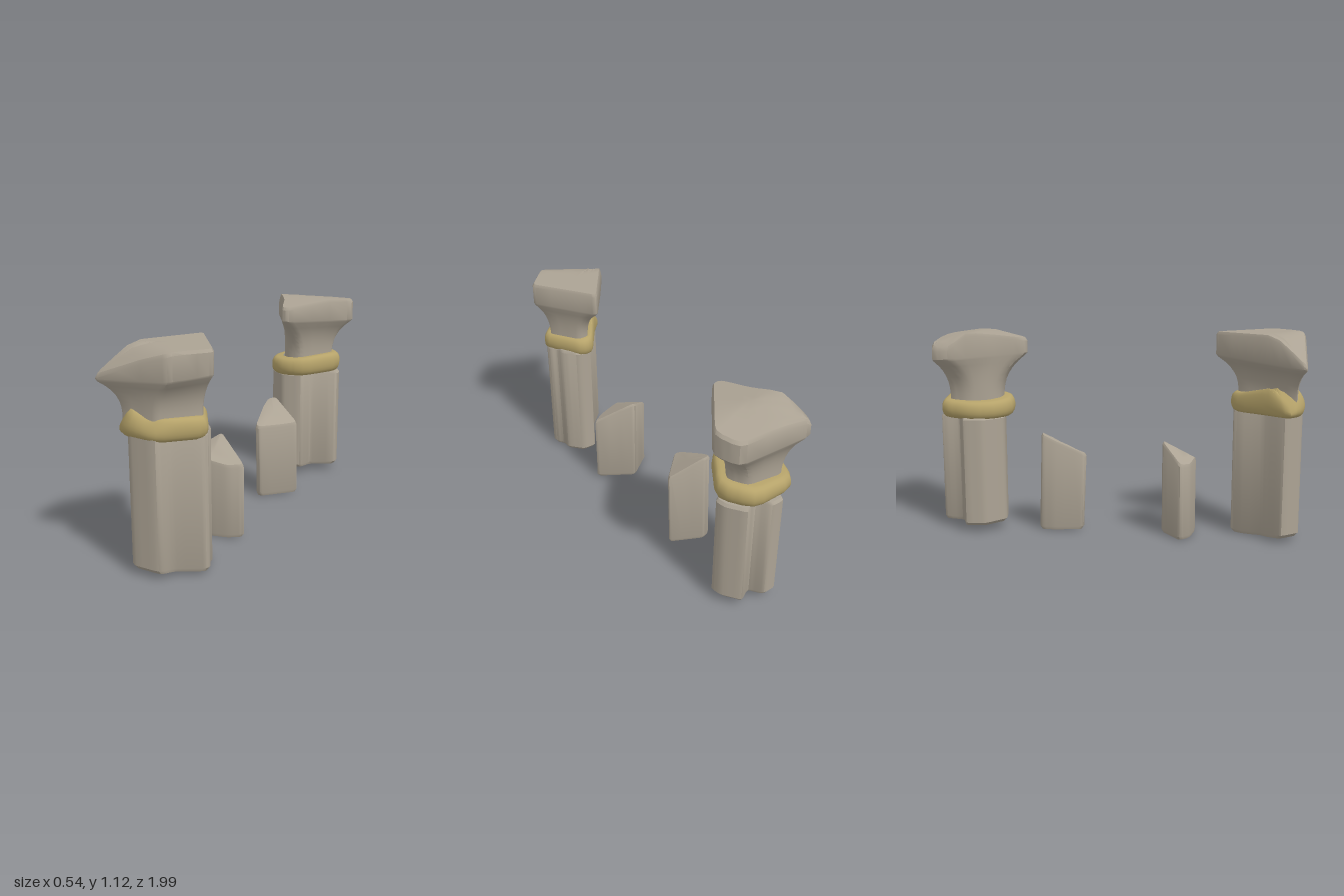
import * as THREE from 'three';
import { toCreasedNormals } from 'three/addons/utils/BufferGeometryUtils.js';

const stone = new THREE.MeshStandardMaterial({ color: 0xaca394 });
stone.name = 'stone';
const gold = new THREE.MeshStandardMaterial({ color: 0xb6a36a });
gold.name = 'dull gold';

// Outline in [x, z]: rounds each corner and subdivides each edge
function rounded(corners, r) {
  const pts = corners.map((p) => new THREE.Vector2(p[0], p[1]));
  if (THREE.ShapeUtils.area(pts) > 0) pts.reverse();
  const n = pts.length, out = [];
  for (let i = 0; i < n; i++) {
    const p = pts[i], prev = pts[(i + n - 1) % n], next = pts[(i + 1) % n];
    const a = p.clone().lerp(prev, Math.min(0.35, r / p.distanceTo(prev)));
    const b = p.clone().lerp(next, Math.min(0.35, r / p.distanceTo(next)));
    const mid = a.clone().add(b).multiplyScalar(0.25).addScaledVector(p, 0.5);
    out.push(a, mid, b);
    const end = next.clone().lerp(p, Math.min(0.35, r / p.distanceTo(next)));
    out.push(b.clone().lerp(end, 1 / 3), b.clone().lerp(end, 2 / 3));
  }
  return out;
}

const blend = (a, b, t) => a.map((p, i) => p.clone().lerp(b[i], t));

// Minimum of two heights with a softened crease of width k
function softMin(a, b, k) {
  const h = Math.max(k - Math.abs(a - b), 0) / k;
  return Math.min(a, b) - h * h * k * 0.25;
}

// Skin over sections [outline, scale about its centre, height as number or f(x, z)], bottom to top
function loft(name, sections, material, crease = 0.55) {
  const pos = [], index = [], n = sections[0][0].length;
  for (const [outline, scale, y] of sections) {
    const c = new THREE.Vector2();
    outline.forEach((p) => c.addScaledVector(p, 1 / n));
    for (const p of outline) {
      const q = c.clone().lerp(p, scale);
      pos.push(q.x, typeof y === 'function' ? y(q.x, q.y) : y, q.y);
    }
  }
  for (let s = 0; s < sections.length - 1; s++) {
    for (let i = 0; i < n; i++) {
      const a = s * n + i, b = s * n + (i + 1) % n;
      index.push(a, b, a + n, b, b + n, a + n);
    }
  }
  const geo = new THREE.BufferGeometry();
  geo.setAttribute('position', new THREE.Float32BufferAttribute(pos, 3));
  geo.setIndex(index);
  const mesh = new THREE.Mesh(toCreasedNormals(geo, crease), material);
  mesh.name = name;
  return mesh;
}

// Upright prism with slightly worn edges
function prism(name, lower, upper, bottom, top) {
  const lift = (f, d) => (x, z) => f(x, z) + d;
  return loft(name, [
    [lower, 0.001, bottom], [lower, 0.92, bottom], [lower, 1, lift(bottom, 0.018)],
    [upper, 1, lift(top, -0.015)], [upper, 0.94, top], [upper, 0.5, top], [upper, 0.001, top],
  ], stone);
}

// Band around the shaft with a round bulging profile, closed towards the neck
function band(outline, bottom, top) {
  const sections = [[outline, 0.6, bottom]];
  for (let i = 0; i <= 10; i++) {
    const a = Math.PI * (i / 10 - 0.5), t = 0.5 + 0.5 * Math.sin(a);
    sections.push([outline, 0.8 + 0.2 * Math.cos(a) ** 0.8,
      (x, z) => bottom(x, z) + (top(x, z) - bottom(x, z)) * t]);
  }
  sections.push([outline, 0.6, top]);
  return loft('goldBand', sections, gold, 0.8);
}

// Flared neck and thick slab on top
function capital(base, slab, start, under, top) {
  const sections = [];
  for (let i = 0; i <= 8; i++) {
    const u = i / 8;
    sections.push([blend(base, slab, 0.92 * u ** 3), 1, (x, z) => start + (under(x, z) - start) * u]);
  }
  sections.push([slab, 1, (x, z) => under(x, z) + 0.012]);
  sections.push([slab, 1, (x, z) => Math.max(top(x, z) - 0.015, under(x, z) + 0.014)]);
  for (const s of [0.96, 0.85, 0.7, 0.5, 0.25, 0.001]) sections.push([slab, s, top]);
  return loft('capital', sections, stone);
}

function frontPillar() {
  const g = new THREE.Group();
  g.name = 'frontPillar';
  const shaft = rounded([[-0.168, 0.89], [-0.1, 0.982], [0.05, 0.988], [0.085, 0.915], [0.215, 0.82],
    [0.212, 0.78], [0.18, 0.75], [0.178, 0.7], [0.105, 0.62], [0.025, 0.62], [-0.05, 0.78]], 0.02);
  const ring = rounded([[-0.205, 0.92], [-0.12, 0.992], [0.06, 0.996], [0.235, 0.82], [0.1, 0.605], [0.02, 0.605], [-0.11, 0.8]], 0.04);
  const base = rounded([[-0.16, 0.95], [0.04, 0.965], [0.195, 0.8], [0.09, 0.645], [0.03, 0.645], [-0.06, 0.8]], 0.02);
  const slab = rounded([[-0.28, 0.99], [0.13, 0.995], [0.275, 0.83], [0.075, 0.565], [0.035, 0.51], [-0.14, 0.77]], 0.025);

  g.add(prism('shaft', shaft, shaft,
    (x, z) => 0.005 + Math.max(0, z - 0.7) * 0.1 + Math.max(0, -x - 0.08) * 0.12, () => 0.715));
  // The band rises to a chipped peak on one side
  g.add(band(ring, () => 0.685, (x, z) => (x < -0.1 ? 0.835 + (x + 0.1) * 1.1 : 0.795 + 0.04 * Math.max(0, -x / 0.1))
    - 0.8 * Math.max(0, z - 0.95)));
  // The slab is broken off on a slant at one corner
  g.add(capital(base, slab, 0.76,
    (x, z) => 0.97 + 0.08 * x - 0.04 * (z - 0.75),
    (x, z) => softMin(1.115 + 0.01 * x, 0.975 + 0.38 * (x + 0.27) + 0.65 * (0.98 - z), 0.04)));
  return g;
}

function backPillar() {
  const g = new THREE.Group();
  g.name = 'backPillar';
  const shaft = rounded([[-0.09, -0.628], [0.025, -0.65], [0.055, -0.74], [0.195, -0.82], [0.185, -0.88], [0.115, -0.975],
    [0.04, -0.93], [-0.01, -1], [-0.085, -0.995], [-0.1, -0.88], [-0.212, -0.83], [-0.2, -0.72]], 0.018);
  const ring = rounded([[-0.16, -0.975], [0.1, -1], [0.215, -0.84], [0.06, -0.6], [-0.075, -0.58], [-0.18, -0.655], [-0.225, -0.79]], 0.06);
  const base = rounded([[-0.12, -0.93], [0.09, -0.93], [0.15, -0.84], [0.02, -0.65], [-0.07, -0.655], [-0.12, -0.72], [-0.15, -0.82]], 0.03);
  const slab = rounded([[-0.22, -0.995], [0.21, -0.995], [0.265, -0.87], [0, -0.51], [-0.045, -0.51], [-0.105, -0.67], [-0.25, -0.89]], 0.04);

  g.add(prism('shaft', shaft, shaft, () => 0.043, () => 0.652));
  g.add(band(ring, (x) => 0.645 + 0.03 * x, (x) => 0.752 + 0.1 * x));
  g.add(capital(base, slab, 0.71,
    (x, z) => 0.965 + 0.06 * (z + 0.78),
    (x, z) => 1.108 - 0.13 * Math.abs(z + 0.78) - 0.15 * Math.max(0, -x - z - 1) - 0.8 * Math.max(0, -0.19 - x)));
  return g;
}

export function createModel() {
  const model = new THREE.Group();
  model.name = 'brokenPillars';
  model.add(frontPillar(), backPillar());

  // Broken shards standing between the pillars
  const front = rounded([[-0.175, 0.35], [-0.03, 0.235], [0.175, 0.355], [0.1, 0.405], [0, 0.425], [-0.12, 0.4]], 0.02);
  model.add(prism('frontShard', front, front, () => 0.002, (x, z) => 0.517 - 0.5 * (z - 0.25) - 0.3 * Math.abs(x + 0.02)));

  const corners = [[-0.08, -0.42], [-0.04, -0.435], [0.14, -0.355], [0.13, -0.335], [-0.02, -0.18], [-0.05, -0.19], [-0.08, -0.35]];
  const back = rounded(corners, 0.015);
  const foot = rounded(corners.map(([x, z]) => [x, z - 0.016]), 0.015);
  // Slanted break, highest at the rear corner
  model.add(prism('backShard', foot, back, () => 0.002,
    (x, z) => 0.437 + 0.47 * Math.max(0, -z - 0.19 - 0.9 * Math.max(0, x + 0.03))));
  return model;
}
